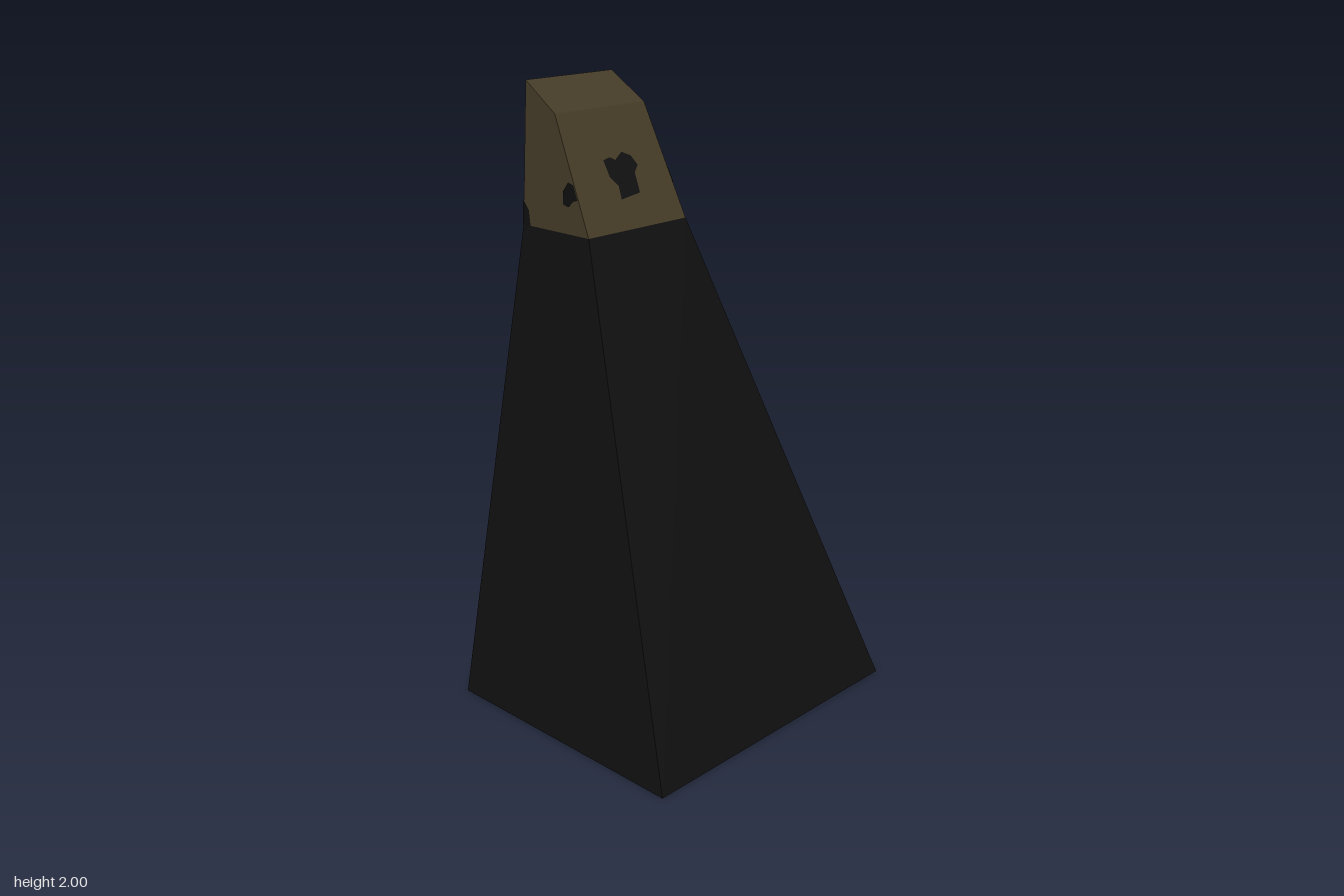
import * as THREE from 'three';

const black = new THREE.MeshStandardMaterial({ color: 0x0f0f0f, side: THREE.DoubleSide });
black.name = 'black';
const bronze = new THREE.MeshStandardMaterial({ color: 0x443a26, side: THREE.DoubleSide });
bronze.name = 'dark bronze';

const BACK = -0.457;
// Cross-sections from hem to crown: height, half width, front z
const levels = [
  [0, 0.53, 0.46],
  [1.55, 0.215, -0.155],
  [1.91, 0.193, -0.32],
  [2, 0.185, -0.46],
];

// Three-sided open section: right back, right front, left front, left back
function section([y, w, z]) {
  const b = Math.max(BACK, -0.46);
  return [[-w, y, Math.min(b, z)], [-w, y, z], [w, y, z], [w, y, Math.min(b, z)]];
}

// Sheet of flat panels between neighbouring sections, open at back and bottom
function shell(name, rows, material) {
  const pos = [];
  for (let i = 0; i < rows.length - 1; i++) {
    const lo = section(rows[i]), hi = section(rows[i + 1]);
    for (let j = 0; j < 3; j++) {
      pos.push(...lo[j], ...lo[j + 1], ...hi[j + 1], ...lo[j], ...hi[j + 1], ...hi[j]);
    }
  }
  const geo = new THREE.BufferGeometry();
  geo.setAttribute('position', new THREE.Float32BufferAttribute(pos, 3));
  geo.computeVertexNormals();
  const mesh = new THREE.Mesh(geo, material);
  mesh.name = name;
  return mesh;
}

// Thin patch: a flat outline laid onto a panel by the rule place(u, y)
function patch(name, outline, place) {
  const geo = new THREE.ShapeGeometry(new THREE.Shape(outline.map(p => new THREE.Vector2(...p))));
  const p = geo.attributes.position;
  for (let i = 0; i < p.count; i++) p.setXYZ(i, ...place(p.getX(i), p.getY(i)));
  geo.computeVertexNormals();
  const mesh = new THREE.Mesh(geo, black);
  mesh.name = name;
  return mesh;
}

const along = (y, k) => THREE.MathUtils.mapLinear(y, levels[1][0], levels[2][0], levels[1][k], levels[2][k]);

const frontSpot = [[-0.06, 1.76], [-0.03, 1.765], [-0.01, 1.755], [0.025, 1.775], [0.06, 1.76], [0.077, 1.73],
  [0.055, 1.71], [0.05, 1.65], [-0.035, 1.64], [-0.03, 1.68], [-0.055, 1.71]];
const sideSpot = [[-0.206, 1.66], [-0.227, 1.705], [-0.25, 1.71], [-0.272, 1.68], [-0.27, 1.64],
  [-0.245, 1.635], [-0.225, 1.655]];
const backNotch = [[-0.42, 1.55], [-0.43, 1.6], [-0.457, 1.63], [-0.457, 1.55]];

export function createModel() {
  const group = new THREE.Group();
  group.name = 'openHood';
  group.add(shell('lowerShell', levels.slice(0, 2), black));
  group.add(shell('upperCap', levels.slice(1), bronze));

  // Dark spots on the outside and inside of the cap
  for (const d of [0.003, -0.003]) {
    const face = d > 0 ? 'Outer' : 'Inner';
    group.add(patch('frontSpot' + face, frontSpot, (x, y) => [x, y, along(y, 2) + d]));
    for (const s of [1, -1]) {
      const side = s > 0 ? 'Left' : 'Right';
      const onSide = (z, y) => [s * (along(y, 1) + d), y, z];
      group.add(patch('sideSpot' + side + face, sideSpot, onSide));
      group.add(patch('backNotch' + side + face, backNotch, onSide));
    }
  }
  return group;
}
